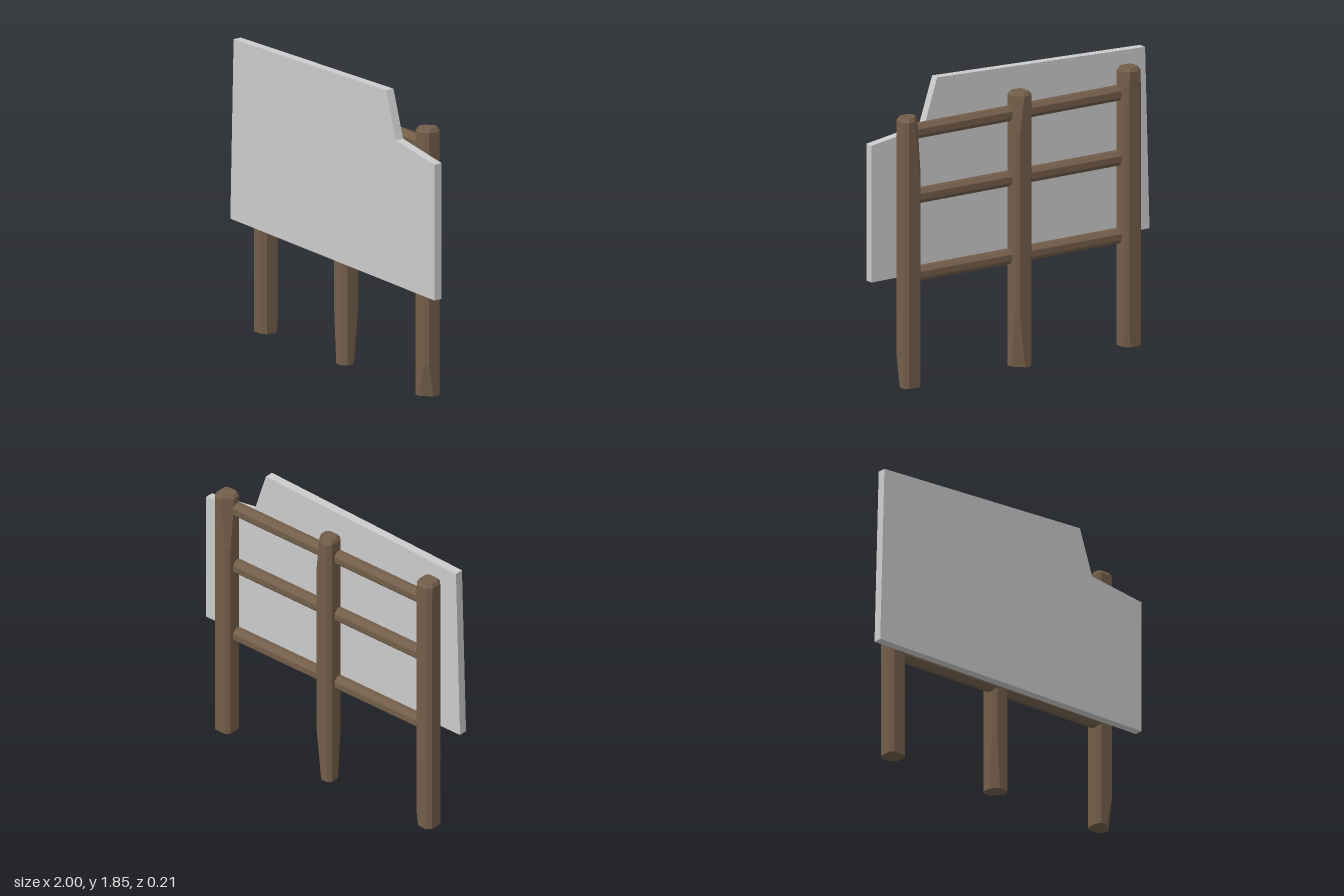
import * as THREE from 'three';

const wood = new THREE.MeshStandardMaterial({ color: 0x735e4a, flatShading: true });
const grey = new THREE.MeshStandardMaterial({ color: 0xcccccc, flatShading: true });

// Corner order for chamfers: right-front, right-back, left-back, left-front
const CORNERS = [[1, 1], [1, -1], [-1, -1], [-1, 1]];

// Square beam with cut corners, lofted upward through levels [y, halfX, halfZ, chamfers]
function hewnBeam(levels) {
  const pos = [], index = [];
  for (const [y, hx, hz, chamfers] of levels) {
    CORNERS.forEach(([sx, sz], k) => {
      const c = chamfers[k];
      const onZ = [sx * (hx - c), y, sz * hz];
      const onX = [sx * hx, y, sz * (hz - c)];
      pos.push(...(k % 2 ? [...onX, ...onZ] : [...onZ, ...onX]));
    });
  }
  for (let l = 0; l < levels.length - 1; l++) {
    for (let i = 0; i < 8; i++) {
      const a = l * 8 + i, b = l * 8 + (i + 1) % 8;
      index.push(a, b, b + 8, a, b + 8, a + 8);
    }
  }
  const top = (levels.length - 1) * 8;
  for (let i = 1; i < 7; i++) {
    index.push(0, i + 1, i);
    index.push(top, top + i, top + i + 1);
  }
  let g = new THREE.BufferGeometry();
  g.setAttribute('position', new THREE.Float32BufferAttribute(pos, 3));
  g.setIndex(index);
  g = g.toNonIndexed();
  g.computeVertexNormals();
  return g;
}

function add(parent, name, geometry, material, x, y, z) {
  const mesh = new THREE.Mesh(geometry, material);
  mesh.name = name;
  mesh.position.set(x, y, z);
  parent.add(mesh);
  return mesh;
}

export function createModel() {
  const model = new THREE.Group();
  model.name = 'signboard';

  // The whole structure is turned very slightly
  const frame = new THREE.Group();
  frame.name = 'frame';
  frame.rotation.y = -0.017;
  model.add(frame);

  // Posts: corner cuts widen towards some of the ends
  const h = 0.0615, e = 0.024;
  const even = [e, e, e, e];
  const posts = [
    { name: 'rightPost', x: -0.806, height: 1.715, foot: [e, 0.035, e, e], footY: 0.08, head: [e, 0.03, 0.03, e], headY: 1.6 },
    { name: 'middlePost', x: -0.02, height: 1.69, foot: [e, 0.06, e, 0.045], footY: 0.33, head: [e, 0.055, e, e], headY: 1.45 },
    { name: 'leftPost', x: 0.779, height: 1.66, foot: [0.06, e, e, e], footY: 0.2, head: [e, e, 0.058, e], headY: 1.3 },
  ];
  for (const p of posts) {
    add(frame, p.name, hewnBeam([
      [0, h, h, p.foot],
      [p.footY, h, h, even],
      [p.headY, h, h, even],
      [p.height - 0.022, h, h, p.head],
      [p.height, h - 0.014, h - 0.014, p.head.map((c) => c * 0.8)],
    ]), wood, p.x, 0, -0.032);
  }

  // Three horizontal rails running through the posts
  const r = [0.026, 0.026, 0.026, 0.026];
  const railGeometry = hewnBeam([[-0.77, 0.045, 0.04, r], [0.75, 0.045, 0.04, r]]);
  railGeometry.rotateZ(-Math.PI / 2);
  [['bottomRail', 0.675], ['middleRail', 1.155], ['topRail', 1.555]].forEach(([name, y]) => {
    add(frame, name, railGeometry, wood, 0, y, -0.009);
  });

  // Board with a broken upper corner
  const outline = new THREE.Shape([
    [-1, 0.67], [1, 0.657], [1, 1.5], [0.622, 1.558], [0.528, 1.845], [-0.968, 1.792],
  ].map(([x, y]) => new THREE.Vector2(x, y)));
  const board = new THREE.ExtrudeGeometry(outline, { depth: 0.054, bevelEnabled: false });
  add(frame, 'board', board, grey, 0, 0, 0.032);

  return model;
}
